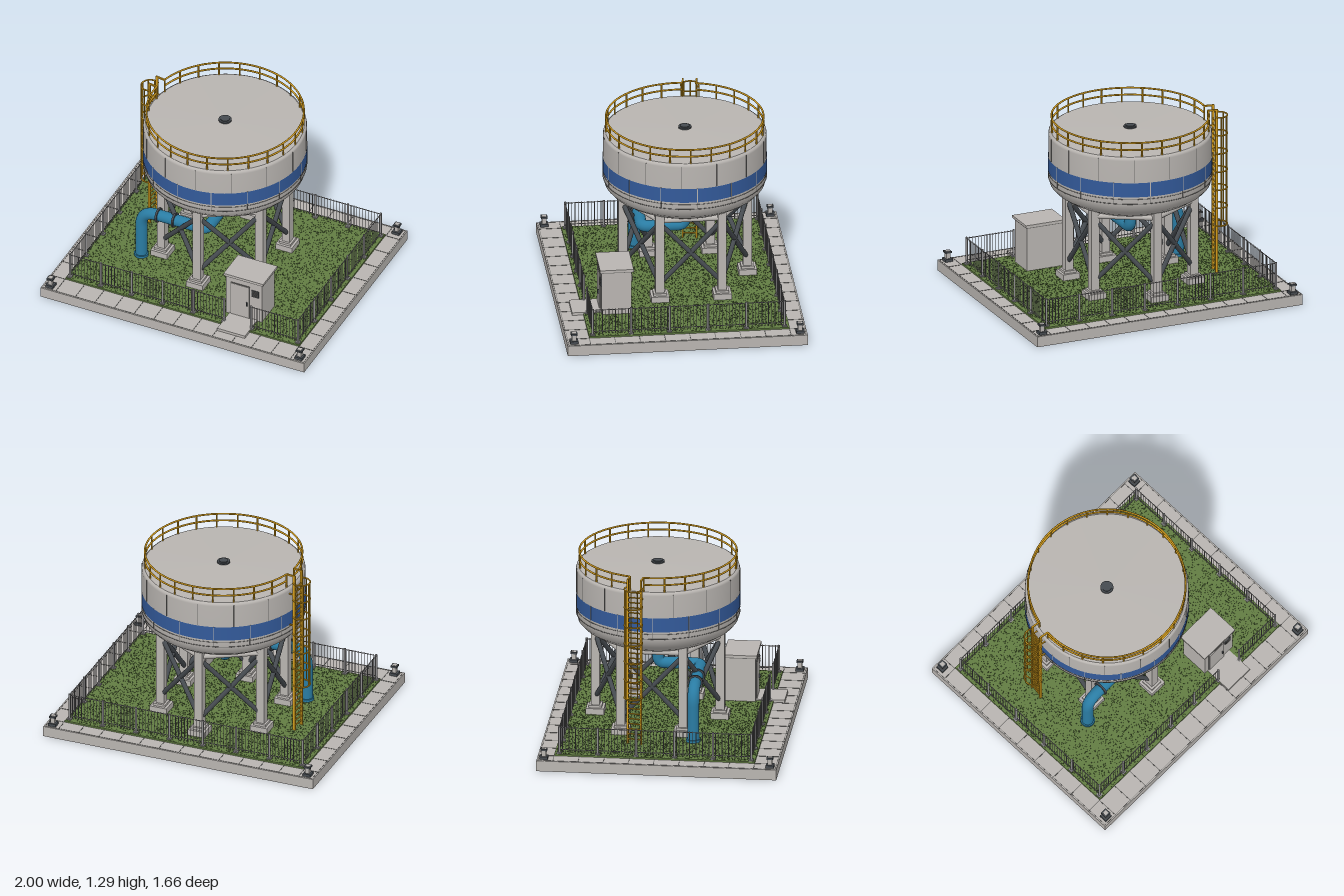
import * as THREE from 'three';
import { mergeGeometries } from 'three/addons/utils/BufferGeometryUtils.js';

const mat = (name, color, double = false) => {
  const m = new THREE.MeshStandardMaterial({ color });
  m.name = name;
  if (double) m.side = THREE.DoubleSide;
  return m;
};
const V = (x, y, z) => new THREE.Vector3(x, y, z);
const box = (w, h, d, x, y, z) => new THREE.BoxGeometry(w, h, d).translate(x, y, z);
const cyl = (r, h, x, y, z, n = 24) => new THREE.CylinderGeometry(r, r, h, n).translate(x, y, z);
// round bar between two points
const bar = (a, b, r, n = 8) => {
  const d = b.clone().sub(a);
  const q = new THREE.Quaternion().setFromUnitVectors(V(0, 1, 0), d.clone().normalize());
  const m = a.clone().add(b).multiplyScalar(0.5);
  return new THREE.CylinderGeometry(r, r, d.length(), n).applyQuaternion(q).translate(m.x, m.y, m.z);
};
// horizontal arc tube, angles measured from +x towards +z
const arc = (r, y, a0, a1, tube, n = 80) => {
  const pts = [];
  for (let i = 0; i <= n; i++) {
    const a = a0 + (a1 - a0) * i / n;
    pts.push(V(r * Math.cos(a), y, r * Math.sin(a)));
  }
  return new THREE.TubeGeometry(new THREE.CatmullRomCurve3(pts), n, tube, 10);
};
// polyline with rounded corners, radii[i] belongs to inner point i + 1
const roundedPath = (pts, radii) => {
  const path = new THREE.CurvePath();
  let from = pts[0];
  radii.forEach((r, i) => {
    const c = pts[i + 1];
    const a = c.clone().add(pts[i].clone().sub(c).setLength(r));
    const b = c.clone().add(pts[i + 2].clone().sub(c).setLength(r));
    path.add(new THREE.LineCurve3(from, a));
    path.add(new THREE.QuadraticBezierCurve3(a, c, b));
    from = b;
  });
  path.add(new THREE.LineCurve3(from, pts[pts.length - 1]));
  return path;
};

export function createModel() {
  const M = {
    concrete: mat('concrete', 0xb9b5b1),
    tank: mat('tankGrey', 0xb9b5b1, true),
    blue: mat('bandBlue', 0x335a9a, true),
    pipe: mat('pipeBlue', 0x2a7ca3),
    yellow: mat('safetyYellow', 0xd39c1c),
    steel: mat('darkSteel', 0x464b50),
    fence: mat('fenceGrey', 0x8c8b8c),
    grass: mat('grassGreen', 0x637d43),
    tuft: mat('darkGreen', 0x3d5228, true),
    seam: mat('seamGrey', 0x6c6b69),
  };
  const root = new THREE.Group();
  const add = (name, geo, m, parent = root) => {
    const mesh = new THREE.Mesh(Array.isArray(geo) ? mergeGeometries(geo) : geo, m);
    mesh.name = name;
    parent.add(mesh);
    return mesh;
  };
  const Y = 0.075;

  // base slab, paver joints and lawn
  add('baseSlab', box(2, Y, 1.656, 0, Y / 2, 0), M.concrete);
  const joints = [];
  for (let i = 0; i <= 12; i++) {
    const x = -0.89 + i * 1.78 / 12;
    for (const z of [-0.77, 0.747]) joints.push(box(0.005, 0.004, z < 0 ? 0.11 : 0.156, x, Y, z));
  }
  for (let i = 0; i <= 8; i++) {
    for (const s of [-1, 1]) joints.push(box(0.11, 0.004, 0.005, s * 0.945, Y, -0.715 + i * 1.383 / 8));
  }
  for (const s of [-1, 1]) {
    joints.push(box(1.98, 0.004, 0.003, 0, Y, s * 0.818), box(0.003, 0.004, 1.64, s * 0.99, Y, 0));
  }
  add('paverJoints', joints, M.seam);
  add('lawn', box(1.774, 0.012, 1.383, 0, Y + 0.006, -0.0235), M.grass);
  let seed = 7;
  const rnd = () => (seed = (seed * 16807) % 2147483647) / 2147483647;
  const tufts = [];
  for (let i = 0; i < 8500; i++) {
    const r = 0.003 + rnd() * 0.003, x = (rnd() - 0.5) * 1.76, z = -0.0235 + (rnd() - 0.5) * 1.37;
    if (x > 0.29 && x < 0.52 && z > 0.54) continue;
    tufts.push(new THREE.ConeGeometry(r, 0.005, 3, 1, true).rotateY(rnd() * 6).translate(x, Y + 0.0142, z));
  }
  add('grassTufts', tufts, M.tuft);

  // corner bollard lamps
  for (const sx of [-1, 1]) for (const sz of [-1, 1]) {
    const g = new THREE.Group();
    g.name = 'cornerBollard';
    g.position.set(sx * 0.945, Y, sz * 0.78);
    add('bollardFoot', box(0.056, 0.02, 0.056, 0, 0.01, 0), M.steel, g);
    add('bollardStem', box(0.03, 0.05, 0.03, 0, 0.04, 0), M.concrete, g);
    add('bollardCap', box(0.046, 0.012, 0.046, 0, 0.067, 0), M.steel, g);
    add('bollardTop', box(0.028, 0.004, 0.028, 0, 0.074, 0), M.concrete, g);
    root.add(g);
  }

  // tank group, centred on its own axis
  const tank = new THREE.Group();
  tank.name = 'waterTank';
  tank.position.set(-0.035, 0, -0.092);
  root.add(tank);
  const lathe = (pts, n = 72) => new THREE.LatheGeometry(pts.map(p => new THREE.Vector2(...p)), n);
  add('tankCone', lathe([[0.001, 0.532], [0.2, 0.61], [0.41, 0.702]]), M.tank, tank);
  add('tankShell', lathe([[0.41, 0.702], [0.46, 0.728], [0.52, 0.768], [0.55, 0.802], [0.562, 0.845],
    [0.562, 0.9], [0.562, 1], [0.562, 1.16], [0.558, 1.176], [0.545, 1.184]]), M.tank, tank);
  add('tankRoof', lathe([[0.545, 1.184], [0.001, 1.198]]), M.tank, tank);
  add('blueBand', lathe([[0.5645, 0.897], [0.5645, 1.0]]), M.blue, tank);
  const torus = (r, y, t) => new THREE.TorusGeometry(r, t, 6, 72).rotateX(Math.PI / 2).translate(0, y, 0);
  add('weldRings', [torus(0.562, 0.845, 0.0025), torus(0.562, 0.88, 0.002)], M.seam, tank);
  const seams = [], bandSeams = [];
  for (let i = 0; i < 14; i++) {
    const a = i / 14 * Math.PI * 2 + 0.07;
    seams.push(box(0.004, 0.165, 0.004, 0, 1.084, 0.562).rotateY(a),
      box(0.004, 0.05, 0.004, 0, 0.872, 0.562).rotateY(a + 0.2));
    bandSeams.push(box(0.004, 0.103, 0.003, 0, 0.9485, 0.564).rotateY(a + 0.2));
  }
  add('plateSeams', seams, M.seam, tank);
  add('bandSeams', bandSeams, M.tank, tank);
  add('roofVent', [cyl(0.03, 0.02, 0, 1.2, 0), cyl(0.045, 0.01, 0, 1.209, 0), cyl(0.032, 0.008, 0, 1.216, 0)],
    M.steel, tank);

  // six legs with footings, ring beams and cross braces
  const R = 0.43, at = (i, y) => V(R * Math.sin(i * Math.PI / 3), y, R * Math.cos(i * Math.PI / 3));
  const legs = [], pads = [], beams = [], braces = [];
  for (let i = 0; i < 6; i++) {
    const p = at(i, 0);
    legs.push(box(0.06, 0.66, 0.06, p.x, 0.405, p.z));
    pads.push(box(0.125, 0.05, 0.125, p.x, Y + 0.03, p.z), box(0.09, 0.02, 0.09, p.x, Y + 0.062, p.z));
    beams.push(bar(at(i, 0.682), at(i + 1, 0.682), 0.019, 12));
    braces.push(bar(at(i, 0.66), at(i + 1, 0.2), 0.017, 12), bar(at(i, 0.2), at(i + 1, 0.66), 0.017, 12));
  }
  add('legs', legs, M.tank, tank);
  add('footings', pads, M.concrete, tank);
  add('ringBeams', beams, M.tank, tank);
  add('crossBraces', braces, M.steel, tank);

  // roof railing, open at the ladder
  const turn = 0.165, gate = Math.PI + turn, rail = [];
  for (const y of [1.235, 1.286]) rail.push(arc(0.541, y, gate + 0.09, gate + Math.PI * 2 - 0.09, 0.0065));
  for (let i = 0; i < 24; i++) {
    const a = gate + 0.09 + (Math.PI * 2 - 0.18) * i / 23;
    rail.push(cyl(0.006, 0.11, 0.541 * Math.cos(a), 1.234, 0.541 * Math.sin(a), 10));
  }
  add('roofRailing', rail, M.yellow, tank);

  // caged ladder, built on the -x side and turned into place
  const ladder = new THREE.Group();
  ladder.name = 'cagedLadder';
  ladder.rotation.y = -turn;
  tank.add(ladder);
  const lx = -0.6, rungs = [], cage = [];
  for (const z of [-0.047, 0.047]) {
    rungs.push(box(0.018, 1.205, 0.011, lx, 0.6875, z));
    rungs.push(box(0.065, 0.011, 0.011, lx + 0.028, 1.285, z));
    for (const y of [0.9, 1.14]) rungs.push(box(0.05, 0.008, 0.008, lx + 0.02, y, z));
  }
  for (let y = 0.12; y < 1.2; y += 0.037) rungs.push(bar(V(lx, y, -0.047), V(lx, y, 0.047), 0.005, 10));
  add('ladderRails', rungs, M.yellow, ladder);
  const cr = 0.062, cx = lx - 0.026;
  for (let i = 0; i < 7; i++) {
    cage.push(arc(cr, 0.435 + i * 0.1325, 0.95, Math.PI * 2 - 0.95, 0.0055, 24).translate(cx, 0, 0));
  }
  for (let i = 0; i < 5; i++) {
    const a = Math.PI + (i - 2) * 0.75;
    cage.push(cyl(0.0045, 0.8, cx + cr * Math.cos(a), 0.8325, cr * Math.sin(a), 10));
  }
  add('ladderCage', cage, M.yellow, ladder);

  // outlet pipe: down from the tank, forward, sideways, then into the ground
  const py = 0.468, pz = 0.205, px = -0.53;
  const path = roundedPath([V(-0.035, 0.58, -0.092), V(-0.035, py, -0.092), V(-0.035, py, pz), V(px, py, pz),
    V(px, Y, pz)], [0.05, 0.05, 0.12]);
  add('outletPipe', new THREE.TubeGeometry(path, 120, 0.041, 20), M.pipe);
  add('pipeFoot', cyl(0.05, 0.02, px, Y + 0.02, pz), M.pipe);
  add('pipeFlanges', [-0.4, -0.275].map(x => bar(V(x - 0.007, py, pz), V(x + 0.007, py, pz), 0.053, 20)), M.steel);

  // pump house
  const hut = new THREE.Group();
  hut.name = 'pumpHouse';
  root.add(hut);
  add('hutWalls', box(0.27, 0.335, 0.205, 0.41, 0.2425, 0.4425), M.tank, hut);
  add('hutRoof', box(0.3, 0.018, 0.232, 0.41, 0.417, 0.441), M.concrete, hut);
  add('hutRoofTrim', box(0.284, 0.008, 0.218, 0.41, 0.404, 0.441), M.seam, hut);
  add('doorFrame', box(0.146, 0.271, 0.006, 0.384, 0.227, 0.546), M.seam, hut);
  add('door', box(0.138, 0.266, 0.007, 0.384, 0.225, 0.549), M.tank, hut);
  add('doorHandle', box(0.007, 0.03, 0.012, 0.437, 0.215, 0.556), M.steel, hut);
  const slats = [];
  for (let i = 0; i < 5; i++) slats.push(box(0.046, 0.004, 0.01, 0.496, 0.293 + i * 0.0105, 0.548));
  add('ventPanel', box(0.054, 0.056, 0.006, 0.496, 0.314, 0.546), M.steel, hut);
  add('ventLouvres', slats, M.seam, hut);
  add('doorSlab', box(0.21, 0.02, 0.2, 0.406, Y + 0.01, 0.645), M.concrete, hut);

  // perimeter fence with a gap at the pump house door
  const posts = [], pickets = [];
  const run = (x0, z0, x1, z1) => {
    const a = V(x0, 0, z0), b = V(x1, 0, z1), len = a.distanceTo(b);
    for (const y of [0.115, 0.275]) pickets.push(bar(V(x0, y, z0), V(x1, y, z1), 0.003, 10));
    const n = Math.round(len / 0.0225), k = Math.max(1, Math.round(len / 0.247));
    for (let i = 0; i <= n; i++) {
      const p = a.clone().lerp(b, i / n);
      pickets.push(cyl(0.0022, 0.183, p.x, 0.19, p.z, 10));
    }
    for (let i = 0; i <= k; i++) {
      const p = a.clone().lerp(b, i / k);
      posts.push(cyl(0.008, 0.2, p.x, 0.183, p.z, 12), box(0.032, 0.008, 0.032, p.x, 0.091, p.z));
    }
  };
  const fx = 0.865, zb = -0.683, zf = 0.642;
  run(-fx, zb, fx, zb);
  run(-fx, zb, -fx, zf);
  run(fx, zb, fx, zf);
  run(-fx, zf, 0.305, zf);
  run(0.51, zf, fx, zf);
  add('fencePickets', pickets, M.fence);
  add('fencePosts', posts, M.fence);
  return root;
}
